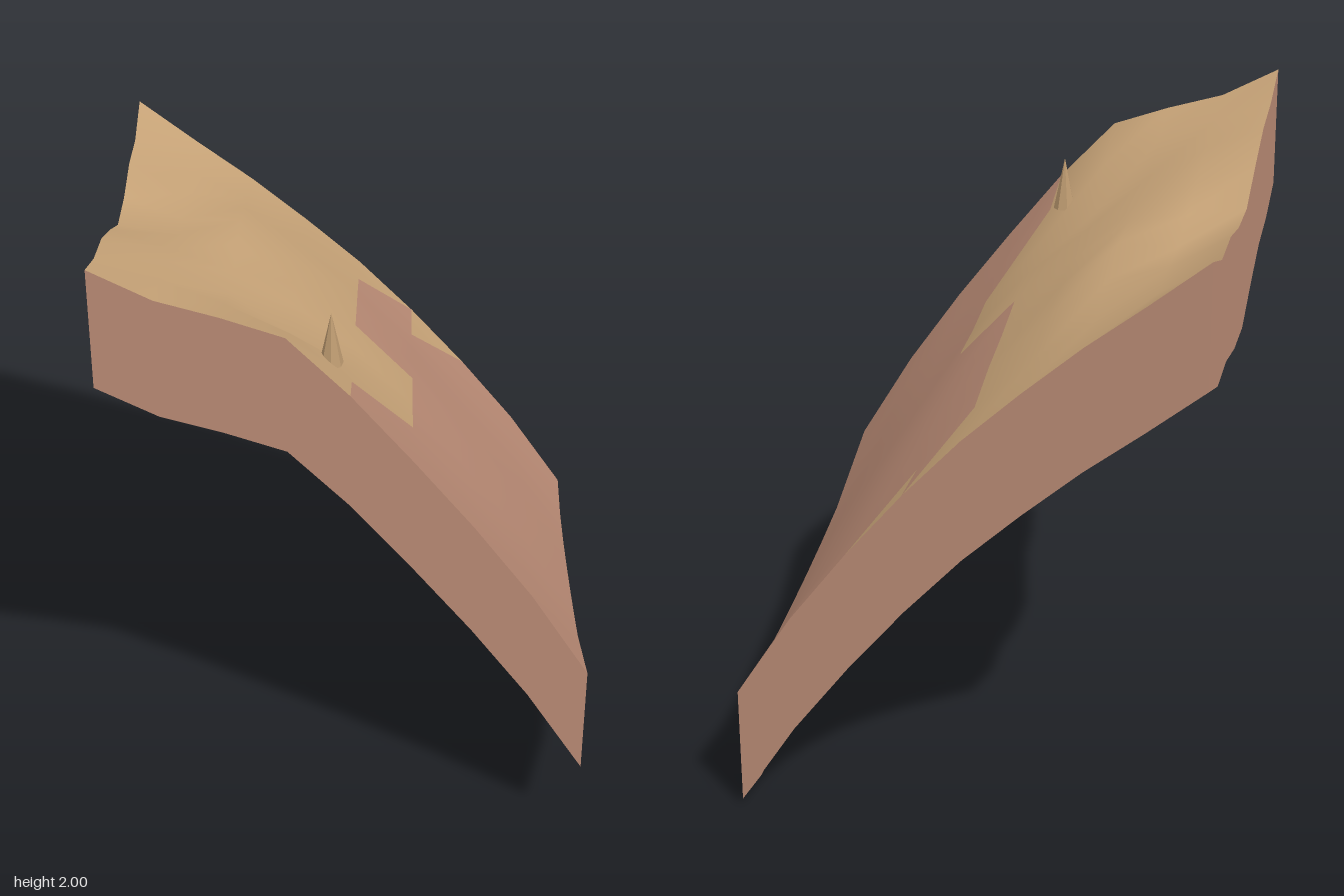
import * as THREE from 'three';

const N = 8, HALF = 0.683, STEP = (2 * HALF) / N, DEPTH = 0.362;

// Ground heights: one row per z step from back to front, x runs left to right
const HEIGHTS = [
  [1.805, 1.67, 1.54, 1.395, 1.24, 1.06, 0.86, 0.64, 0.38],
  [1.757, 1.65, 1.56, 1.43, 1.275, 1.07, 0.87, 0.645, 0.363],
  [1.77, 1.67, 1.62, 1.49, 1.33, 1.13, 0.91, 0.675, 0.38],
  [1.745, 1.675, 1.675, 1.53, 1.37, 1.18, 0.95, 0.71, 0.41],
  [1.75, 1.72, 1.69, 1.56, 1.42, 1.235, 0.99, 0.745, 0.445],
  [1.83, 1.77, 1.70, 1.59, 1.45, 1.255, 1.02, 0.78, 0.485],
  [1.90, 1.83, 1.73, 1.60, 1.49, 1.29, 1.06, 0.82, 0.53],
  [1.935, 1.87, 1.80, 1.71, 1.555, 1.345, 1.12, 0.88, 0.60],
  [2.0, 1.91, 1.86, 1.80, 1.62, 1.41, 1.19, 0.95, 0.67],
];

const point = (i, j) => [-HALF + i * STEP, HEIGHTS[j][i], -HALF + j * STEP];

// Sand covers the upper half, plus a few cells that spill down the slope
function isSand(i, j, backTriangle) {
  if (i < 4) return true;
  if (i === 4) return j === 4 || j === 5 || (backTriangle && (j === 6 || j === 0));
  return i === 5 && j === 0 && backTriangle;
}

// Smooth-shaded ground with one group per colour
function groundGeometry() {
  const positions = [], sand = [], clay = [];
  for (let j = 0; j <= N; j++) for (let i = 0; i <= N; i++) positions.push(...point(i, j));
  for (let j = 0; j < N; j++) {
    for (let i = 0; i < N; i++) {
      const a = j * (N + 1) + i, b = a + N + 1, c = b + 1, d = a + 1;
      (isSand(i, j, true) ? sand : clay).push(a, b, d);
      (isSand(i, j, false) ? sand : clay).push(b, c, d);
    }
  }
  const geometry = new THREE.BufferGeometry();
  geometry.setAttribute('position', new THREE.Float32BufferAttribute(positions, 3));
  geometry.setIndex([...sand, ...clay]);
  geometry.addGroup(0, sand.length, 0);
  geometry.addGroup(sand.length, clay.length, 1);
  geometry.computeVertexNormals();
  return geometry;
}

// Vertical skirt hanging from one border of the ground
function wallGeometry(border) {
  const positions = [], index = [];
  for (let k = 0; k <= N; k++) {
    const [x, y, z] = point(...border(k));
    positions.push(x, y, z, x, y - DEPTH, z);
    if (k < N) {
      const t = 2 * k;
      index.push(t, t + 1, t + 2, t + 1, t + 3, t + 2);
    }
  }
  const geometry = new THREE.BufferGeometry();
  geometry.setAttribute('position', new THREE.Float32BufferAttribute(positions, 3));
  geometry.setIndex(index);
  geometry.computeVertexNormals();
  return geometry;
}

export function createModel() {
  const model = new THREE.Group();
  model.name = 'hillsideTile';

  const sand = new THREE.MeshStandardMaterial({ color: 0xc8a478, side: THREE.DoubleSide });
  sand.name = 'sand';
  const clay = new THREE.MeshStandardMaterial({ color: 0xba8b75, side: THREE.DoubleSide });
  clay.name = 'clay';
  const rock = new THREE.MeshStandardMaterial({ color: 0xbd9a70, flatShading: true });
  rock.name = 'rock';

  const add = (name, geometry, material) => {
    const mesh = new THREE.Mesh(geometry, material);
    mesh.name = name;
    model.add(mesh);
    return mesh;
  };

  add('ground', groundGeometry(), [sand, clay]);

  // Side walls, open underneath, each running counter-clockwise from above
  add('frontWall', wallGeometry((k) => [k, N]), clay);
  add('leftWall', wallGeometry((k) => [N, N - k]), clay);
  add('backWall', wallGeometry((k) => [N - k, 0]), clay);
  add('rightWall', wallGeometry((k) => [0, k]), clay);

  // Small pointed rock standing on the slope
  const spike = add('rockSpike', new THREE.ConeGeometry(0.034, 0.16, 7), rock);
  spike.position.set(-0.057, 1.66, 0.457);

  return model;
}
